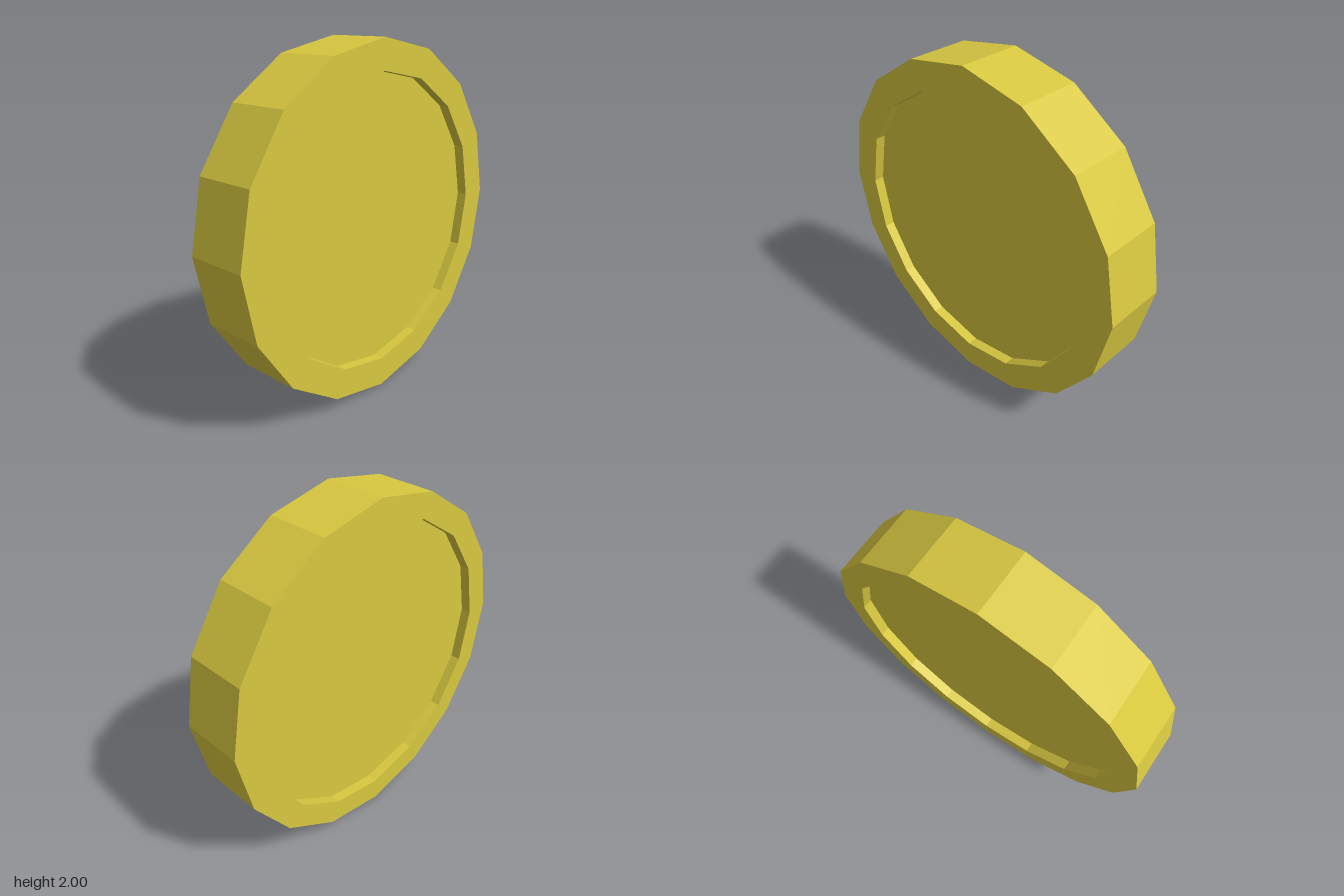
import * as THREE from 'three';

const SIDES = 16;
const HALF = 0.182; // half thickness
const RECESS = 0.06; // depth of the sunken faces
const FRONT_R = 0.83;
const BACK_R = 0.855;

export function createModel() {
  const coin = new THREE.Group();
  coin.name = 'coin';
  const gold = new THREE.MeshStandardMaterial({ color: 0xd8c840, flatShading: true });

  const add = (name, geometry) => {
    const mesh = new THREE.Mesh(geometry, gold);
    mesh.name = name;
    mesh.position.y = 1;
    coin.add(mesh);
    return mesh;
  };

  // Faceted rim: back recess wall, back lip, outer edge, front lip, front recess wall
  const profile = [
    [BACK_R, -HALF + RECESS],
    [BACK_R, -HALF],
    [1, -HALF],
    [1, HALF],
    [FRONT_R, HALF],
    [FRONT_R, HALF - RECESS],
  ].map(([r, y]) => new THREE.Vector2(r, y));
  const rim = new THREE.LatheGeometry(profile, SIDES).toNonIndexed();
  rim.rotateX(Math.PI / 2);
  rim.computeVertexNormals();
  add('rim', rim);

  // Sunken flat faces
  const front = add('frontFace', new THREE.CircleGeometry(FRONT_R, SIDES));
  front.position.z = HALF - RECESS;
  const back = add('backFace', new THREE.CircleGeometry(BACK_R, SIDES));
  back.rotation.y = Math.PI;
  back.position.z = -HALF + RECESS;

  return coin;
}
